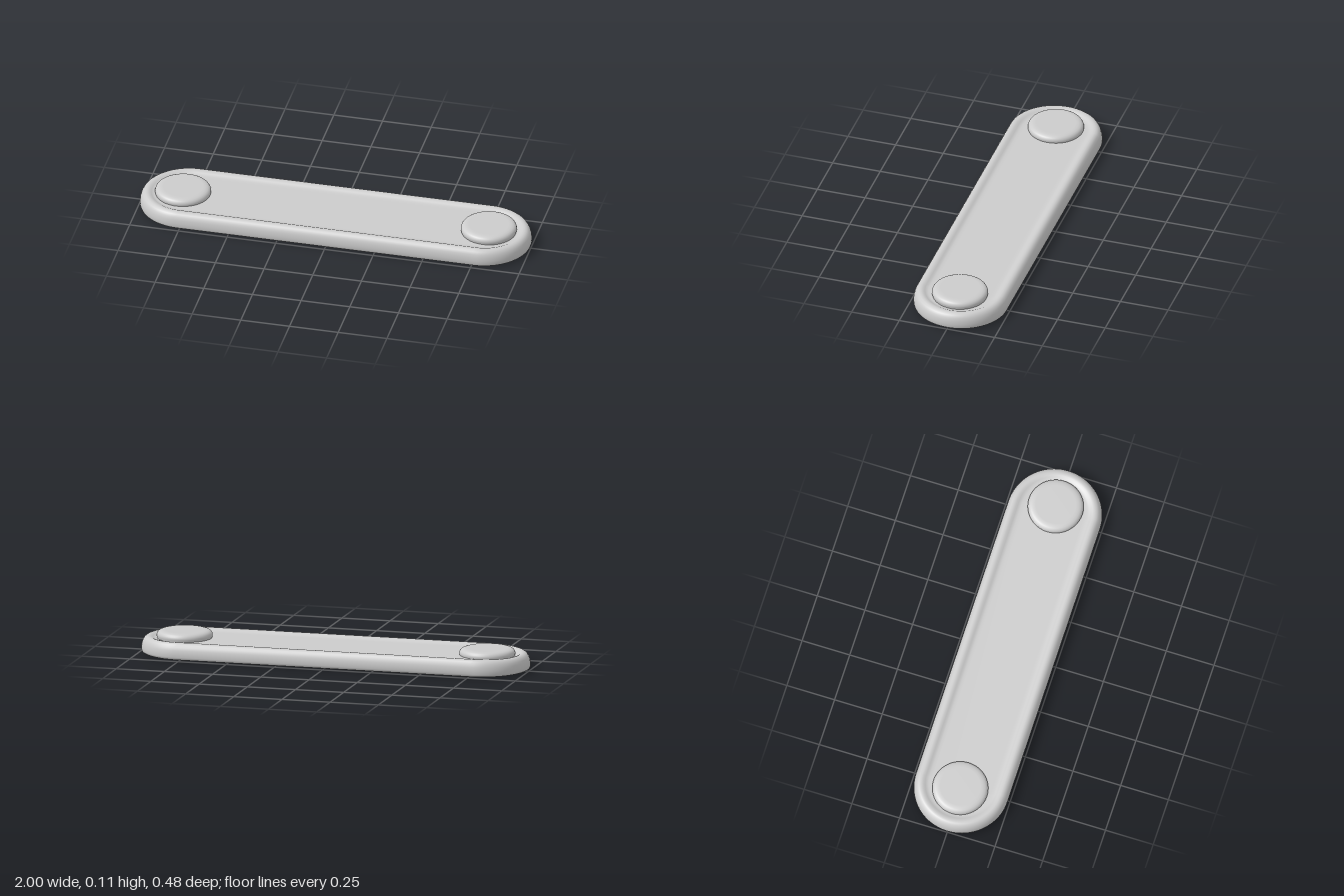
import * as THREE from 'three';

const HALF = 0.76; // distance from the middle to the centre of each round end
const ARC = 40;    // segments per round end

// Sweeps a profile of [radius, height] points round a stadium outline;
// the height eases down slightly towards the tips of the ends.
function stadiumLoft(profile) {
  const pos = [], index = [], cols = 2 * (ARC + 1);
  for (const [r, y] of profile) {
    for (let end = 0; end < 2; end++) {
      for (let k = 0; k <= ARC; k++) {
        const a = -Math.PI / 2 + Math.PI * (end + k / ARC);
        const drop = 1 - 0.05 * Math.abs(Math.cos(a)) * r / 0.24;
        pos.push((end ? -HALF : HALF) + r * Math.cos(a), y * drop, r * Math.sin(a));
      }
    }
  }
  for (let i = 0; i < profile.length - 1; i++) {
    for (let j = 0; j < cols; j++) {
      const n = (j + 1) % cols;
      const a = i * cols + j, b = i * cols + n, c = a + cols, d = b + cols;
      index.push(a, c, b, b, c, d);
    }
  }
  const g = new THREE.BufferGeometry();
  g.setAttribute('position', new THREE.Float32BufferAttribute(pos, 3));
  g.setIndex(index);
  g.computeVertexNormals();
  return g;
}

export function createModel() {
  const group = new THREE.Group();
  const grey = new THREE.MeshStandardMaterial({ color: 0xcccccc });
  grey.name = 'light grey';
  const add = (geometry, name) => {
    const mesh = new THREE.Mesh(geometry, grey);
    mesh.name = name;
    group.add(mesh);
    return mesh;
  };

  // Flat underside
  add(stadiumLoft([[0, 0], [0.2, 0.001], [0.23, 0.004]]), 'underside');

  // Rounded wall, raised rim and shallow recessed floor
  add(stadiumLoft([
    [0.23, 0.004], [0.237, 0.008], [0.24, 0.018], [0.24, 0.035], [0.237, 0.052],
    [0.232, 0.067], [0.224, 0.079], [0.214, 0.086], [0.203, 0.088], [0.192, 0.086],
    [0.183, 0.081], [0.175, 0.077], [0.166, 0.075], [0.15, 0.074], [0, 0.074],
  ]), 'tray');

  // Rounded button at each end, the left one a little taller
  const buttonProfile = [
    [0.135, 0], [0.14, 0.02], [0.14, 0.027], [0.138, 0.034], [0.133, 0.041],
    [0.125, 0.046], [0.114, 0.049], [0.1, 0.05], [0, 0.05],
  ].map(([r, y]) => new THREE.Vector2(r, y));
  for (const side of [-1, 1]) {
    const button = add(new THREE.LatheGeometry(buttonProfile, 56),
      side > 0 ? 'leftButton' : 'rightButton');
    button.position.set(side * 0.785, side > 0 ? 0.063 : 0.058, 0);
  }
  return group;
}
